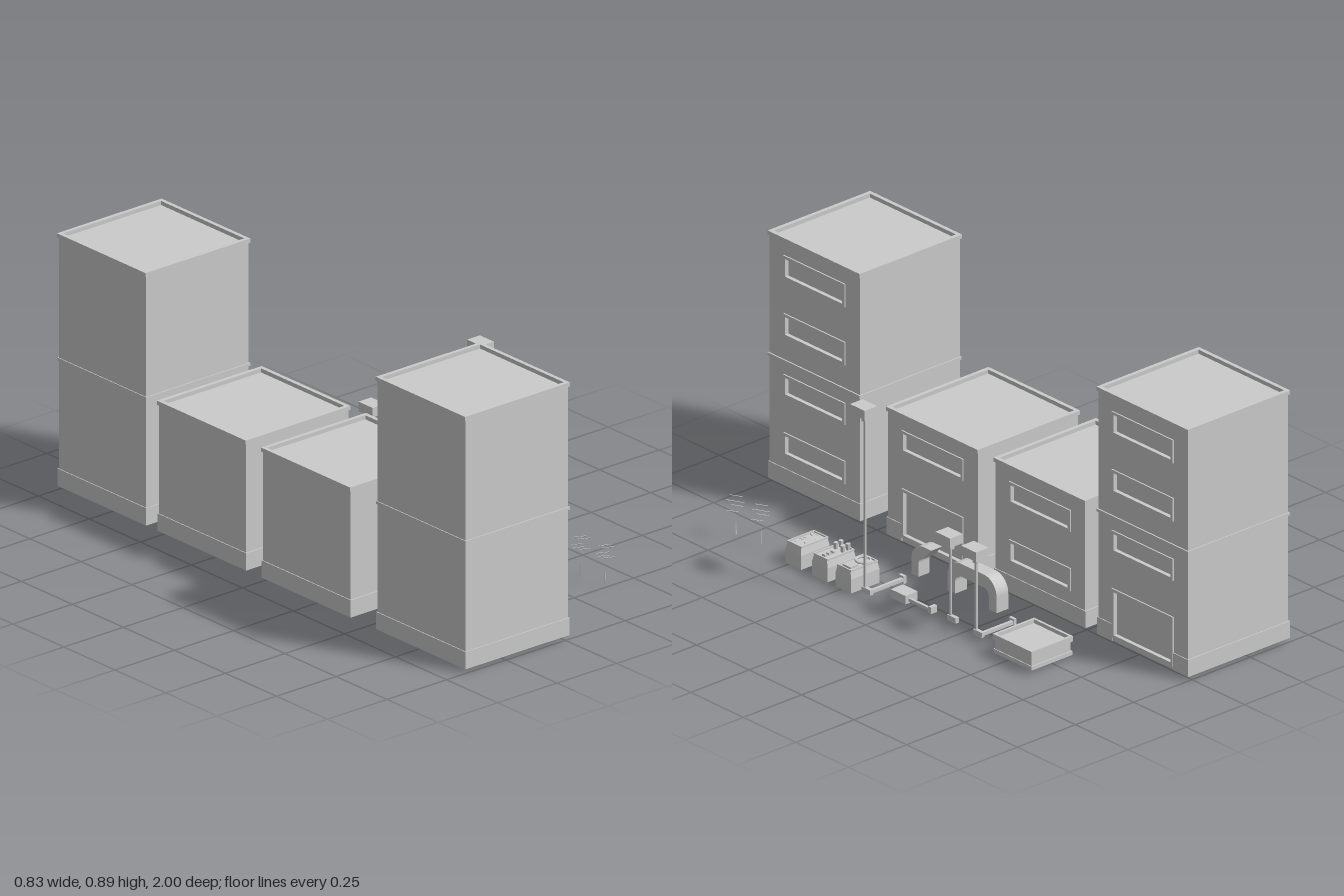
import * as THREE from 'three';

const mat = new THREE.MeshStandardMaterial({ color: 0xcccccc, flatShading: true, side: THREE.DoubleSide });

function add(parent, name, geo, x = 0, y = 0, z = 0) {
  const m = new THREE.Mesh(geo, mat);
  m.name = name;
  m.position.set(x, y, z);
  parent.add(m);
  return m;
}

// Box given by its minimum and maximum corners
function box(parent, name, x0, x1, y0, y1, z0, z1) {
  return add(parent, name, new THREE.BoxGeometry(x1 - x0, y1 - y0, z1 - z0),
    (x0 + x1) / 2, (y0 + y1) / 2, (z0 + z1) / 2);
}

function group(parent, name) {
  const g = new THREE.Group();
  g.name = name;
  parent.add(g);
  return g;
}

// Square ring of four bars around a flat roof
function rim(parent, name, x0, x1, y0, y1, z0, z1, t) {
  box(parent, name, x0, x1, y0, y1, z0, z0 + t);
  box(parent, name, x0, x1, y0, y1, z1 - t, z1);
  box(parent, name, x0, x0 + t, y0, y1, z0 + t, z1 - t);
  box(parent, name, x1 - t, x1, y0, y1, z0 + t, z1 - t);
}

// Rectangle path in (z, y), for walls and their holes
function rect(Type, z0, z1, y0, y1) {
  const p = new Type();
  p.moveTo(z0, y0);
  p.lineTo(z1, y0);
  p.lineTo(z1, y1);
  p.lineTo(z0, y1);
  p.closePath();
  return p;
}

// Plate lying in the z-y plane, thick along x
function plate(parent, name, shape, x0, x1) {
  const g = new THREE.ExtrudeGeometry(shape, { depth: x1 - x0, bevelEnabled: false, curveSegments: 8 });
  g.rotateY(-Math.PI / 2);
  return add(parent, name, g, x1, 0, 0);
}

function building(parent, name, z0, z1, top, openings) {
  const g = group(parent, name);
  const zc = (z0 + z1) / 2, w = 0.14;
  box(g, 'body', -0.417, 0, 0.015, top - 0.014, z0 + 0.004, z1 - 0.004);
  // street wall with recessed windows and doors
  const wall = rect(THREE.Shape, z0 + 0.004, z1 - 0.004, 0.015, top - 0.014);
  for (const [y0, y1] of openings) {
    wall.holes.push(rect(THREE.Path, zc - w, zc + w, y0, y1));
    const frame = rect(THREE.Shape, zc - w - 0.006, zc + w + 0.006, y0 - 0.006, y1 + 0.006);
    frame.holes.push(rect(THREE.Path, zc - w + 0.004, zc + w - 0.004, y0 + 0.004, y1 - 0.004));
    plate(g, 'openingFrame', frame, 0.004, 0.018);
  }
  plate(g, 'streetWall', wall, 0, 0.013);
  // plinth on the closed sides, and on the street side where there is no door
  const hasDoor = openings.some(o => o[0] < 0.08);
  box(g, 'plinth', -0.42, 0, 0.015, 0.075, z0, z1);
  if (hasDoor) {
    box(g, 'plinth', 0, 0.016, 0.015, 0.075, z0, zc - w - 0.006);
    box(g, 'plinth', 0, 0.016, 0.015, 0.075, zc + w + 0.006, z1);
  } else box(g, 'plinth', 0, 0.016, 0.015, 0.075, z0, z1);
  if (top > 0.6) box(g, 'floorBand', -0.42, 0.018, 0.448, 0.458, z0, z1);
  rim(g, 'parapet', -0.422, 0.018, top - 0.014, top, z0, z1, 0.014);
}

function lamp(parent, x, z, height, arm) {
  const g = group(parent, 'streetLamp');
  box(g, 'lampHead', x - 0.042, x + 0.012, height - 0.033, height, z - 0.012, z + 0.058);
  box(g, 'lampNeck', x - 0.008, x + 0.008, height - 0.043, height - 0.033, z - 0.01, z + 0.008);
  add(g, 'pole', new THREE.CylinderGeometry(0.005, 0.005, height - 0.06, 8), x, (height - 0.03) / 2 + 0.012, z);
  box(g, 'poleFoot', x - 0.007, x + 0.007, 0.027, 0.046, z - 0.032, z + 0.008);
  // low pipe along the ground
  if (arm) {
    box(g, 'groundPipe', x - arm, x + 0.006, 0.033, 0.045, z - 0.034, z - 0.023);
    box(g, 'pipeEnd', x - arm - 0.005, x - arm + 0.006, 0.025, 0.052, z - 0.036, z - 0.012);
  }
}

// Curved duct in the z-y plane
function duct(parent, name, shape, x0, x1) {
  plate(parent, name, shape, x0, x1);
}

function planter(parent, z) {
  const g = group(parent, 'counter');
  // tapered body: wide at the bottom, sloping to the rim
  const body = new THREE.BoxGeometry(0.122, 0.074, 0.074, 1, 2, 1);
  const p = body.attributes.position;
  for (let i = 0; i < p.count; i++) {
    if (p.getY(i) > 0.03) p.setXYZ(i, p.getX(i) * 0.94, p.getY(i), p.getZ(i) * 0.84);
    else if (p.getY(i) > -0.01) p.setY(i, 0.012);
  }
  add(g, 'counterBody', body, 0.317, 0.038, z);
  rim(g, 'counterRim', 0.259, 0.375, 0.074, 0.08, z - 0.034, z + 0.034, 0.005);
  return g;
}

// Thin stick between two points
function stick(parent, name, a, b, r = 0.0012) {
  const path = new THREE.LineCurve3(new THREE.Vector3(...a), new THREE.Vector3(...b));
  return add(parent, name, new THREE.TubeGeometry(path, 1, r, 4), 0, 0, 0);
}

export function createModel() {
  const root = new THREE.Group();
  root.name = 'streetSet';

  // row of buildings
  const w1 = [0.126, 0.195], w2 = [0.335, 0.4], w3 = [0.545, 0.615], w4 = [0.75, 0.82];
  const door = [0.035, 0.195];
  building(root, 'rearTower', -1, -0.565, 0.888, [door, w2, w3, w4]);
  building(root, 'rearLowBuilding', -0.51, -0.075, 0.465, [w1, w2]);
  building(root, 'frontLowBuilding', 0, 0.437, 0.465, [door, w2]);
  building(root, 'frontTower', 0.562, 1, 0.888, [w1, w2, w3, w4]);

  // low roof unit
  const unit = group(root, 'lowUnit');
  box(unit, 'unitBody', 0.182, 0.35, 0.014, 0.068, -0.624, -0.45);
  box(unit, 'unitBase', 0.178, 0.353, 0.014, 0.028, -0.628, -0.446);
  rim(unit, 'unitRim', 0.177, 0.355, 0.062, 0.081, -0.63, -0.445, 0.009);

  // street lamps
  lamp(root, 0.374, 0.142, 0.674, 0.14);
  lamp(root, 0.311, -0.195, 0.322, 0);
  lamp(root, 0.322, -0.33, 0.324, 0.135);

  // lamp lying on the ground
  const low = group(root, 'lowLamp');
  box(low, 'lampHead', 0.289, 0.342, 0.028, 0.058, -0.015, 0.055);
  box(low, 'pole', 0.318, 0.328, 0.034, 0.045, -0.12, -0.015);
  box(low, 'poleEnd', 0.302, 0.328, 0.027, 0.05, -0.122, -0.108);

  // large arch with rounded shoulders
  const arch = new THREE.Shape();
  arch.moveTo(-0.222, 0.005);
  arch.lineTo(-0.222, 0.06);
  arch.absarc(-0.162, 0.06, 0.06, Math.PI, Math.PI / 2, true);
  arch.lineTo(-0.048, 0.12);
  arch.absarc(-0.048, 0.06, 0.06, Math.PI / 2, 0, true);
  arch.lineTo(0.012, 0.005);
  arch.lineTo(-0.025, 0.005);
  arch.lineTo(-0.025, 0.05);
  arch.absarc(-0.05, 0.05, 0.025, 0, Math.PI / 2, false);
  arch.lineTo(-0.16, 0.075);
  arch.absarc(-0.16, 0.05, 0.025, Math.PI / 2, Math.PI, false);
  arch.lineTo(-0.185, 0.005);
  duct(root, 'largeArch', arch, 0.087, 0.137);

  // half arch
  const half = new THREE.Shape();
  half.moveTo(0.18, 0.005);
  half.lineTo(0.18, 0.06);
  half.absarc(0.122, 0.06, 0.058, 0, Math.PI / 2, false);
  half.lineTo(0.086, 0.118);
  half.lineTo(0.122, 0.077);
  half.absarc(0.122, 0.053, 0.024, Math.PI / 2, 0, true);
  half.lineTo(0.146, 0.005);
  duct(root, 'halfArch', half, 0.093, 0.14);

  // first counter: bowl ring and tray
  const c1 = planter(root, 0.241);
  const ring = add(c1, 'bowlRing', new THREE.TorusGeometry(0.024, 0.004, 6, 16), 0.293, 0.08, 0.241);
  ring.rotation.x = Math.PI / 2;
  box(c1, 'tray', 0.33, 0.365, 0.074, 0.083, 0.222, 0.26);

  // second counter: four pots
  const c2 = planter(root, 0.353);
  for (const x of [0.271, 0.293]) for (const z of [0.337, 0.37])
    add(c2, 'pot', new THREE.CylinderGeometry(0.008, 0.007, 0.022, 8), x, 0.086, z);
  for (const x of [0.32, 0.34, 0.357])
    box(c2, 'smallItem', x - 0.005, x + 0.005, 0.074, 0.082, 0.345, 0.36);

  // third counter: scattered sticks
  const c3 = planter(root, 0.478);
  for (let i = 0; i < 7; i++) {
    const x = 0.272 + i * 0.014, z = 0.478 + 0.018 * Math.sin(i * 2.3);
    stick(c3, 'looseStick', [x, 0.077, z], [x + 0.01, 0.084, z + 0.012 * Math.cos(i * 1.7)], 0.002);
  }

  // two dry plants
  for (const [x, z] of [[0.36, 0.65], [0.374, 0.755]]) {
    const plant = group(root, 'dryPlant');
    stick(plant, 'stem', [x, 0.015, z], [x - 0.003, 0.058, z + 0.004], 0.0025);
    for (let i = 0; i < 5; i++) {
      const y = 0.1 + i * 0.012, s = 0.016 * Math.cos(i * 2);
      stick(plant, 'twig', [x - 0.012 + s, y, z - 0.014], [x + 0.016 + s, y + 0.006, z + 0.014]);
    }
  }
  return root;
}
